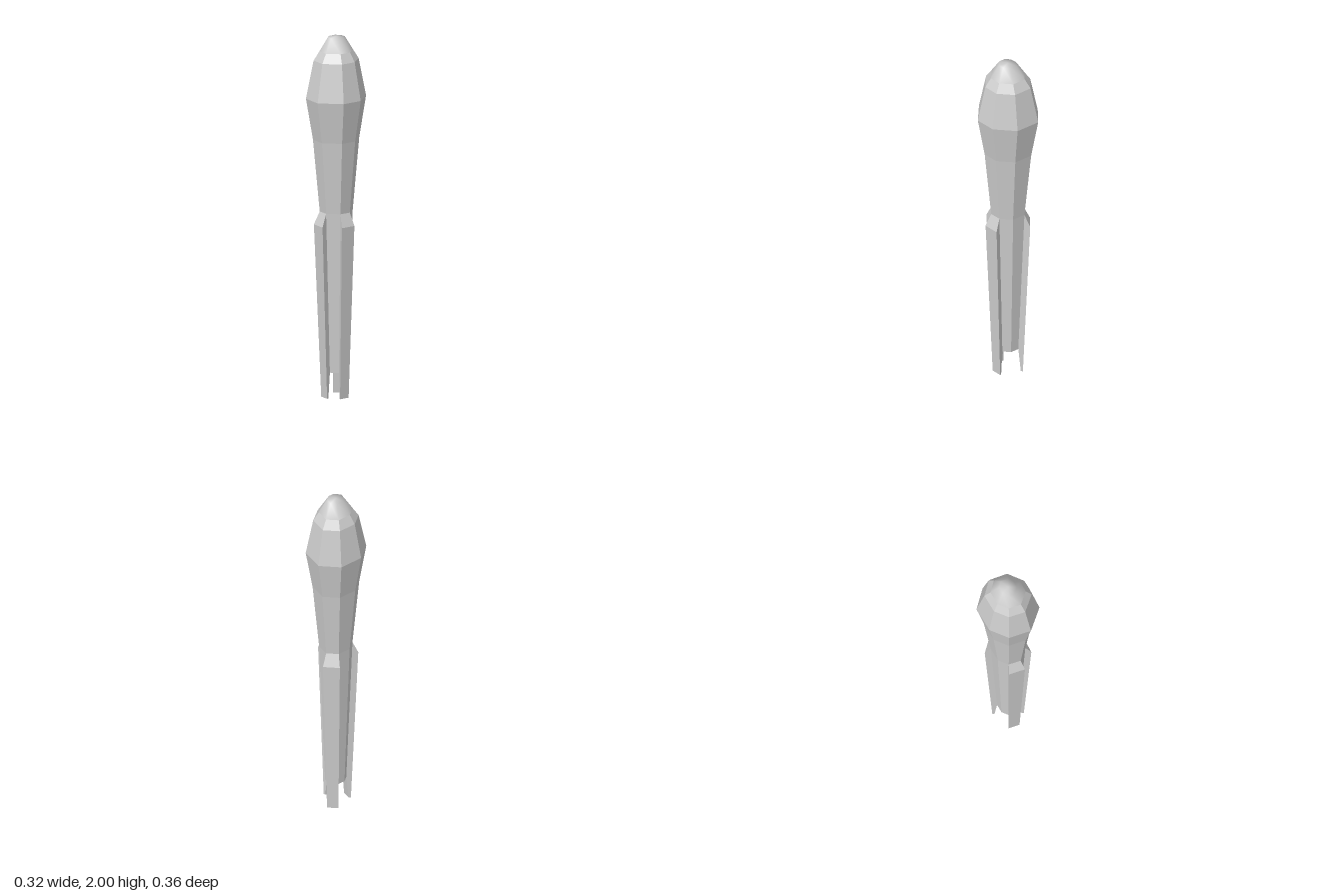
import * as THREE from 'three';
import { mergeVertices } from 'three/addons/utils/BufferGeometryUtils.js';

// Eight-sided cross-section at the widest point, as [x, z], from +x towards +z
const RING = [
  [0.16, 0.01], [0.12, 0.12], [-0.01, 0.178], [-0.12, 0.12],
  [-0.16, 0.01], [-0.12, -0.122], [-0.01, -0.18], [0.115, -0.118],
];

// Corner i of the cross-section, scaled by s, at height y
const corner = (i, [s, y]) => {
  const [x, z] = RING[i % 8];
  return [x * s, y, z * s];
};

// Triangulate convex polygons as fans
function fromPolygons(polygons) {
  const pos = [];
  for (const p of polygons) {
    for (let k = 1; k < p.length - 1; k++) pos.push(...p[0], ...p[k], ...p[k + 1]);
  }
  const geo = new THREE.BufferGeometry();
  geo.setAttribute('position', new THREE.Float32BufferAttribute(pos, 3));
  return geo;
}

// Quads joining the levels [scale, y], listed bottom to top
function shell(levels) {
  const faces = [];
  for (let l = 0; l < levels.length - 1; l++) {
    for (let i = 0; i < 8; i++) {
      const lo = levels[l], hi = levels[l + 1];
      faces.push([corner(i, lo), corner(i, hi), corner(i + 1, hi), corner(i + 1, lo)]);
    }
  }
  return faces;
}

// Fin standing on the octagon face between corners i and i + 1
function finGeometry(i) {
  const profile = [[0.55, 1.03], [0.74, 0.96], [0.5, 0], [0.43, 0], [0.35, 0.14]];
  const faces = [
    profile.map((p) => corner(i, p)),
    profile.map((p) => corner(i + 1, p)).reverse(),
  ];
  profile.forEach((p, k) => {
    const q = profile[(k + 1) % profile.length];
    faces.push([corner(i, q), corner(i, p), corner(i + 1, p), corner(i + 1, q)]);
  });
  return fromPolygons(faces);
}

export function createModel() {
  const group = new THREE.Group();
  const flat = new THREE.MeshStandardMaterial({ color: 0xcccccc, flatShading: true });
  const smooth = new THREE.MeshStandardMaterial({ color: 0xcccccc });

  const add = (name, geo, material) => {
    geo.computeVertexNormals();
    const mesh = new THREE.Mesh(geo, material);
    mesh.name = name;
    group.add(mesh);
  };

  // Faceted, bulging body with a closed bottom
  const bodyLevels = [[0.35, 0.14], [0.55, 1.03], [0.77, 1.43], [1, 1.66], [0.75, 1.87], [0.56, 1.92]];
  const bottom = RING.map((_, i) => corner(i, bodyLevels[0]));
  add('body', fromPolygons([...shell(bodyLevels), bottom]), flat);

  // Smooth nose with a flat tip
  const noseLevels = [[0.56, 1.92], [0.285, 1.995]];
  const nose = shell(noseLevels);
  for (let i = 0; i < 8; i++) {
    nose.push([corner(i, noseLevels[1]), [0, 2, 0], corner(i + 1, noseLevels[1])]);
  }
  add('nose', mergeVertices(fromPolygons(nose)), smooth);

  // Three legs-like fins along the lower half
  add('leftFin', finGeometry(0), flat);
  add('frontFin', finGeometry(2), flat);
  add('backFin', finGeometry(5), flat);

  return group;
}
